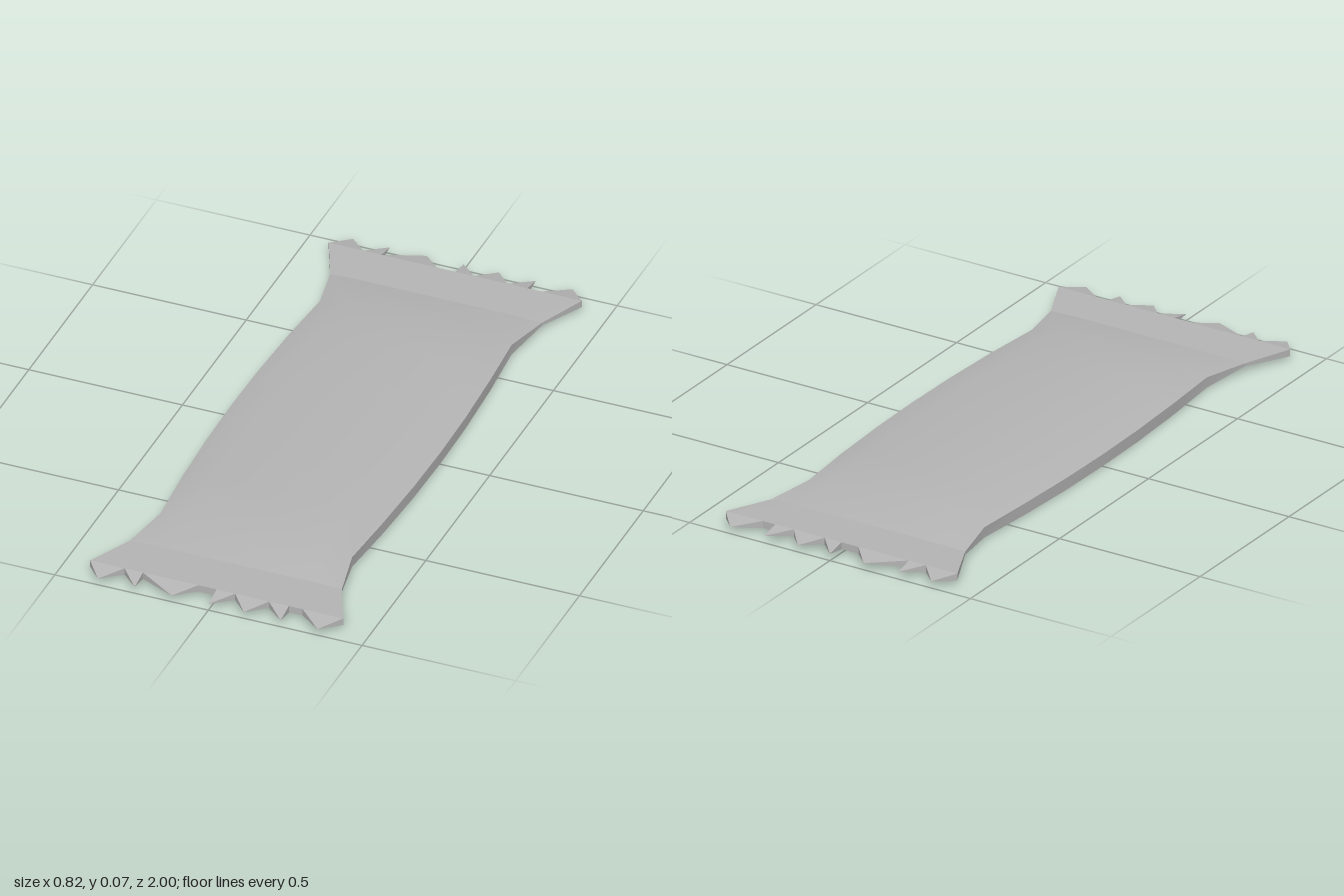
import * as THREE from 'three';
import { toCreasedNormals } from 'three/addons/utils/BufferGeometryUtils.js';

// Eight-point cross-section: half width w, flat top half width s
function ring({ z, w, s, bottom, edge, mid, top }) {
  return [[w, edge], [w, mid], [s, top], [-s, top], [-w, mid], [-w, edge], [-s, bottom], [s, bottom]]
    .map(([x, y]) => [x, y, z]);
}

// Skin consecutive rings (z ascending), optionally closing the far end
function loft(sections, capEnd) {
  const rings = sections.map(ring);
  const n = rings[0].length;
  const index = [];
  for (let i = 0; i < rings.length - 1; i++) {
    for (let j = 0; j < n; j++) {
      const k = (j + 1) % n;
      const a = i * n + j, b = i * n + k, c = b + n, d = a + n;
      index.push(a, b, d, b, c, d);
    }
  }
  if (capEnd) {
    const o = (rings.length - 1) * n;
    for (let j = 1; j < n - 1; j++) index.push(o, o + j, o + j + 1);
  }
  const g = new THREE.BufferGeometry();
  g.setAttribute('position', new THREE.Float32BufferAttribute(rings.flat(2), 3));
  g.setIndex(index);
  return toCreasedNormals(g, 0.7);
}

// Crimped teeth: pyramids standing on the end of the seal
function teethGeometry(teeth, z, top, bottom, tipY, tipZ) {
  const p = [];
  for (const [x0, x1, xp] of teeth) {
    const base = [[x0, bottom, z], [x1, bottom, z], [x1, top, z], [x0, top, z]];
    base.forEach((c, i) => p.push(...c, ...base[(i + 1) % 4], xp, tipY, tipZ));
  }
  const g = new THREE.BufferGeometry();
  g.setAttribute('position', new THREE.Float32BufferAttribute(p, 3));
  g.computeVertexNormals();
  return g;
}

export function createModel() {
  const group = new THREE.Group();
  const foil = new THREE.MeshStandardMaterial({ color: 0xb4b4b4, side: THREE.DoubleSide });
  foil.name = 'greyFoil';

  const add = (name, geometry, parent = group) => {
    const m = new THREE.Mesh(geometry, foil);
    m.name = name;
    parent.add(m);
  };

  // Padded body, widest in the middle and pinched flat towards the seals
  const neck = { w: 0.345, s: 0.26, bottom: 0.019, edge: 0.021, mid: 0.031, top: 0.034 };
  const half = [
    { z: 0, w: 0.34, s: 0.24, bottom: 0, edge: 0.003, mid: 0.042, top: 0.067 },
    { z: 0.2, w: 0.337, s: 0.24, bottom: 0, edge: 0.003, mid: 0.042, top: 0.067 },
    { z: 0.42, w: 0.327, s: 0.235, bottom: 0.001, edge: 0.004, mid: 0.042, top: 0.067 },
    { z: 0.625, w: 0.312, s: 0.23, bottom: 0.003, edge: 0.006, mid: 0.04, top: 0.064 },
    { z: 0.785, ...neck },
  ];
  const back = half.slice(1).reverse().map((s) => ({ ...s, z: -s.z }));
  add('wrapperBody', loft([...back, ...half], false));

  // Flared seal and its torn teeth, mirrored to the back
  const seal = loft([
    { z: 0.785, ...neck },
    { z: 0.935, w: 0.412, s: 0.3, bottom: 0.012, edge: 0.012, mid: 0.035, top: 0.035 },
  ], true);
  // each tooth: left edge, right edge, tip
  const teeth = teethGeometry([
    [-0.412, -0.3, -0.36], [-0.3, -0.24, -0.24], [-0.24, -0.06, -0.12], [0, 0.06, 0],
    [0.06, 0.17, 0.115], [0.17, 0.235, 0.235], [0.28, 0.412, 0.355],
  ], 0.935, 0.035, 0.012, 0.022, 1);
  for (const [name, dir] of [['frontEnd', 1], ['backEnd', -1]]) {
    const end = new THREE.Group();
    end.name = name;
    end.scale.z = dir;
    add('seal', seal, end);
    add('tornTeeth', teeth, end);
    group.add(end);
  }
  return group;
}
